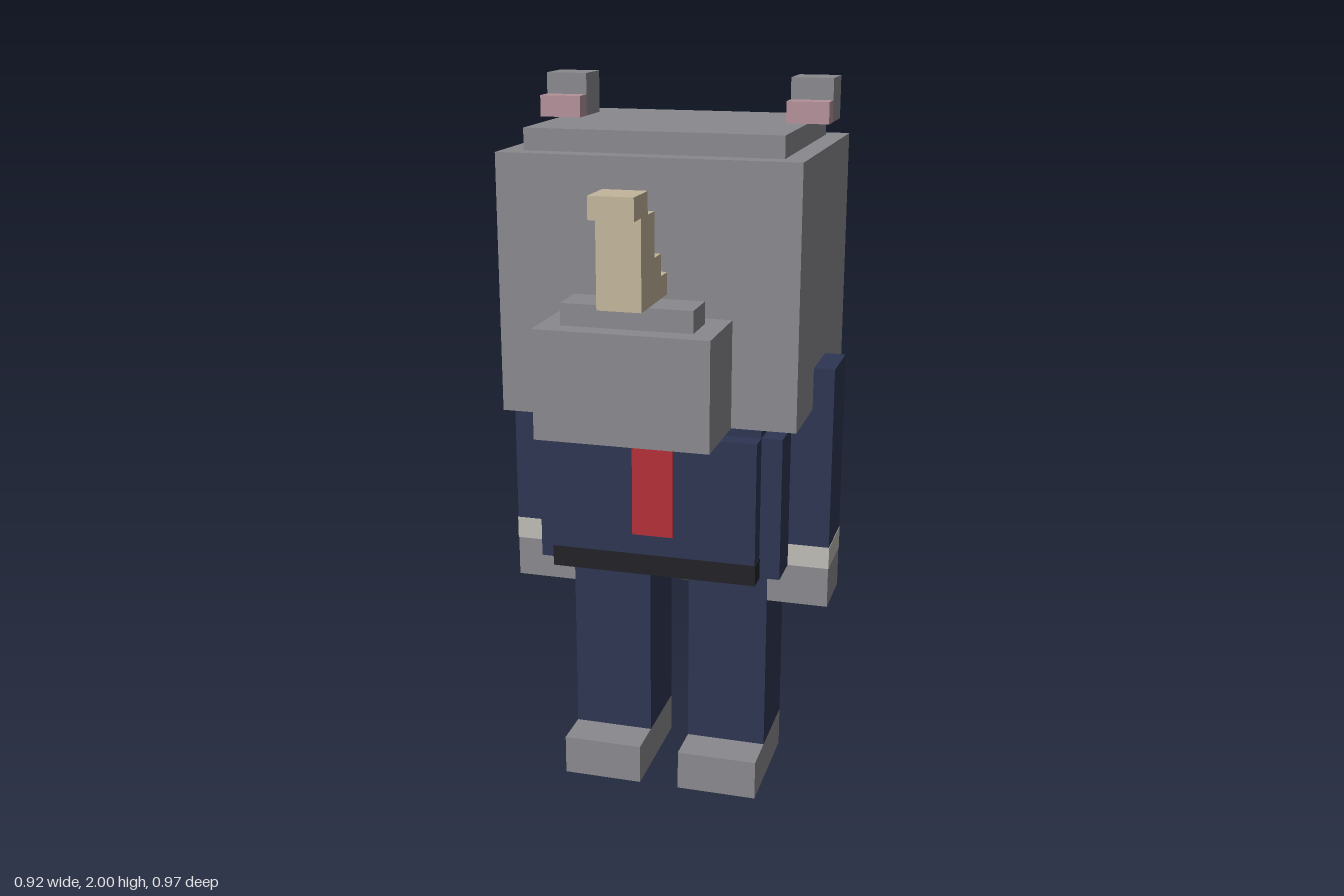
import * as THREE from 'three';

const mat = (name, color) => {
  const m = new THREE.MeshStandardMaterial({ color });
  m.name = name;
  return m;
};

export function createModel() {
  const hide = mat('grey hide', 0x8a898d);
  const suit = mat('navy suit', 0x2d3552);
  const red = mat('tie red', 0xb42f38);
  const horn = mat('horn tan', 0xc2b59b);
  const pink = mat('ear pink', 0xb4929a);
  const white = mat('shirt white', 0xbcbbb5);
  const tuft = mat('tuft charcoal', 0x414142);
  const leather = mat('belt black', 0x222327);

  const model = new THREE.Group();
  model.name = 'blockyCharacter';

  // One block, given by its lower and upper corners in voxels
  const U = 2 / 35;
  const block = (name, material, [x0, x1], [y0, y1], [z0, z1]) => {
    const g = new THREE.BoxGeometry((x1 - x0) * U, (y1 - y0) * U, (z1 - z0) * U);
    g.translate((x0 + x1) * U / 2, (y0 + y1) * U / 2, (z0 + z1) * U / 2);
    const mesh = new THREE.Mesh(g, material);
    mesh.name = name;
    model.add(mesh);
  };
  // Two blocks mirrored across x = 0
  const pair = (name, material, [x0, x1], y, z) => {
    block('left' + name, material, [x0, x1], y, z);
    block('right' + name, material, [-x1, -x0], y, z);
  };

  // Head and snout
  block('head', hide, [-7, 7], [20, 32], [-8.5, 3.5]);
  block('headTop', hide, [-6, 6], [32, 33], [-7.5, 2.5]);
  block('snout', hide, [-4, 4], [20, 25], [3.5, 7.5]);
  block('noseBridge', hide, [-3, 3], [25, 26], [4.5, 6.5]);

  // Ears
  pair('Ear', hide, [5, 7], [33, 35], [-5.5, -3.5]);
  pair('InnerEar', pink, [5, 7], [33, 34], [-3.5, -2.5]);

  // Stepped horn
  const hornSteps = [[26, 27, 3.5, 7.5], [27, 28, 4.5, 7.5], [28, 30, 5.5, 7.5], [30, 31, 6.5, 8.5]];
  for (const [y0, y1, z0, z1] of hornSteps) block('hornStep', horn, [-1, 1], [y0, y1], [z0, z1]);

  // Jacket, with the belt let into the back and the bottom of the front panel
  block('jacket', suit, [-6, 6], [12, 19], [-5.5, 1.5]);
  block('jacketShoulders', suit, [-5, 5], [19, 20], [-5.5, 1.5]);
  block('jacketFront', suit, [-5, 5], [12, 19], [1.5, 2.5]);
  block('frontBelt', leather, [-5.03, 5.03], [11.98, 13], [1.5, 2.53]);
  block('backBelt', leather, [-5, 5], [11.98, 13], [-5.53, -4.5]);

  // Tie and collar
  block('tie', red, [-1, 1], [14, 20], [1.5, 2.55]);
  pair('Collar', white, [1, 2], [19, 20], [1.5, 2.5]);
  block('pocketSquare', red, [2, 3], [19, 20], [1.5, 2.5]);

  // Arms
  pair('Sleeve', suit, [5, 8], [13, 22], [-3.5, -0.5]);
  pair('Cuff', white, [5, 8.02], [12, 13.1], [-3.52, -0.48]);
  pair('Hand', hide, [5, 8], [10, 12], [-3.5, -0.5]);

  // Legs and feet
  pair('Leg', suit, [1, 5], [2, 12], [-4.5, -0.5]);
  pair('Foot', hide, [1, 5], [0, 2], [-4.5, 1.5]);

  // Tail
  block('tailBase', hide, [0, 1], [12, 15], [-6.5, -5.5]);
  block('tailEnd', hide, [0, 1], [10, 13], [-7.5, -6.5]);
  block('tailTuft', tuft, [-1, 1], [8, 10], [-7.5, -6.5]);

  return model;
}
